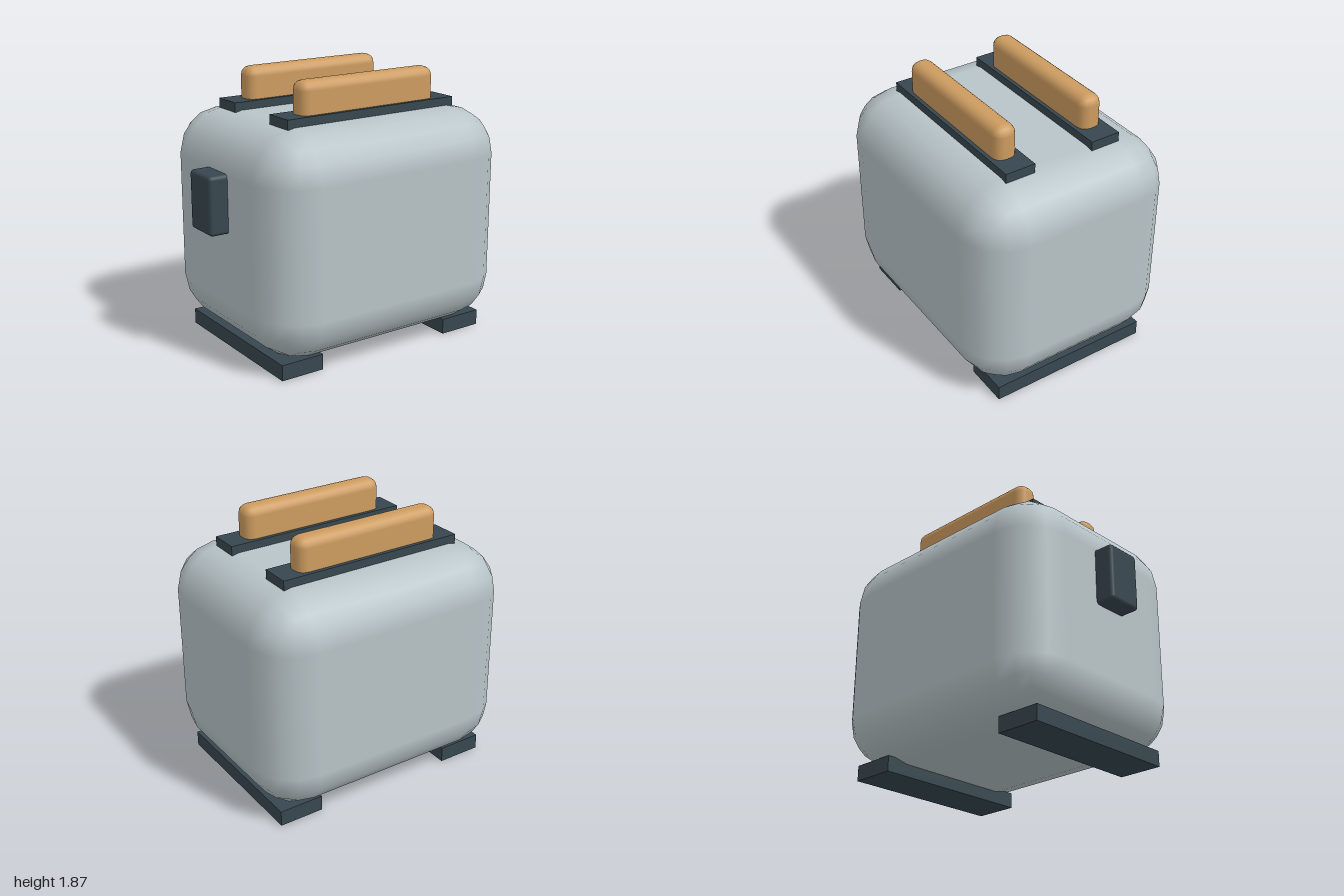
import * as THREE from 'three';
import { RoundedBoxGeometry } from 'three/addons/geometries/RoundedBoxGeometry.js';

const metal = new THREE.MeshStandardMaterial({ color: 0xb8c4c8 });
const dark = new THREE.MeshStandardMaterial({ color: 0x37474f });
const crust = new THREE.MeshStandardMaterial({ color: 0xcd9c60 });

// Box given by its low and high corners; a radius rounds its edges.
function block(name, lo, hi, material, radius = 0) {
  const size = hi.map((v, i) => v - lo[i]);
  const geometry = radius
    ? new RoundedBoxGeometry(...size, 2, radius)
    : new THREE.BoxGeometry(...size);
  const mesh = new THREE.Mesh(geometry, material);
  mesh.name = name;
  mesh.position.set(...hi.map((v, i) => (v + lo[i]) / 2));
  return mesh;
}

export function createModel() {
  const toaster = new THREE.Group();
  toaster.name = 'toaster';

  // Rounded metal housing
  toaster.add(block('body', [-0.87, 0.085, -0.745], [1, 1.6, 0.745], metal, 0.32));

  // Slot frame and bread slice, front and back
  for (const [side, z] of [['front', 0.322], ['back', -0.322]]) {
    toaster.add(block(side + 'Slot', [-0.6, 1.59, z - 0.106], [0.73, 1.655, z + 0.106], dark));
    toaster.add(block(side + 'Toast', [-0.47, 1.3, z - 0.079], [0.595, 1.872, z + 0.079], crust, 0.064));
  }

  // Push-down lever on the right side
  toaster.add(block('lever', [-1, 0.885, -0.133], [-0.8, 1.283, 0.133], dark, 0.026));

  // Feet running front to back
  toaster.add(block('rightFoot', [-0.76, 0, -0.585], [-0.445, 0.108, 0.585], dark));
  toaster.add(block('leftFoot', [0.575, 0, -0.585], [0.89, 0.108, 0.585], dark));

  return toaster;
}
